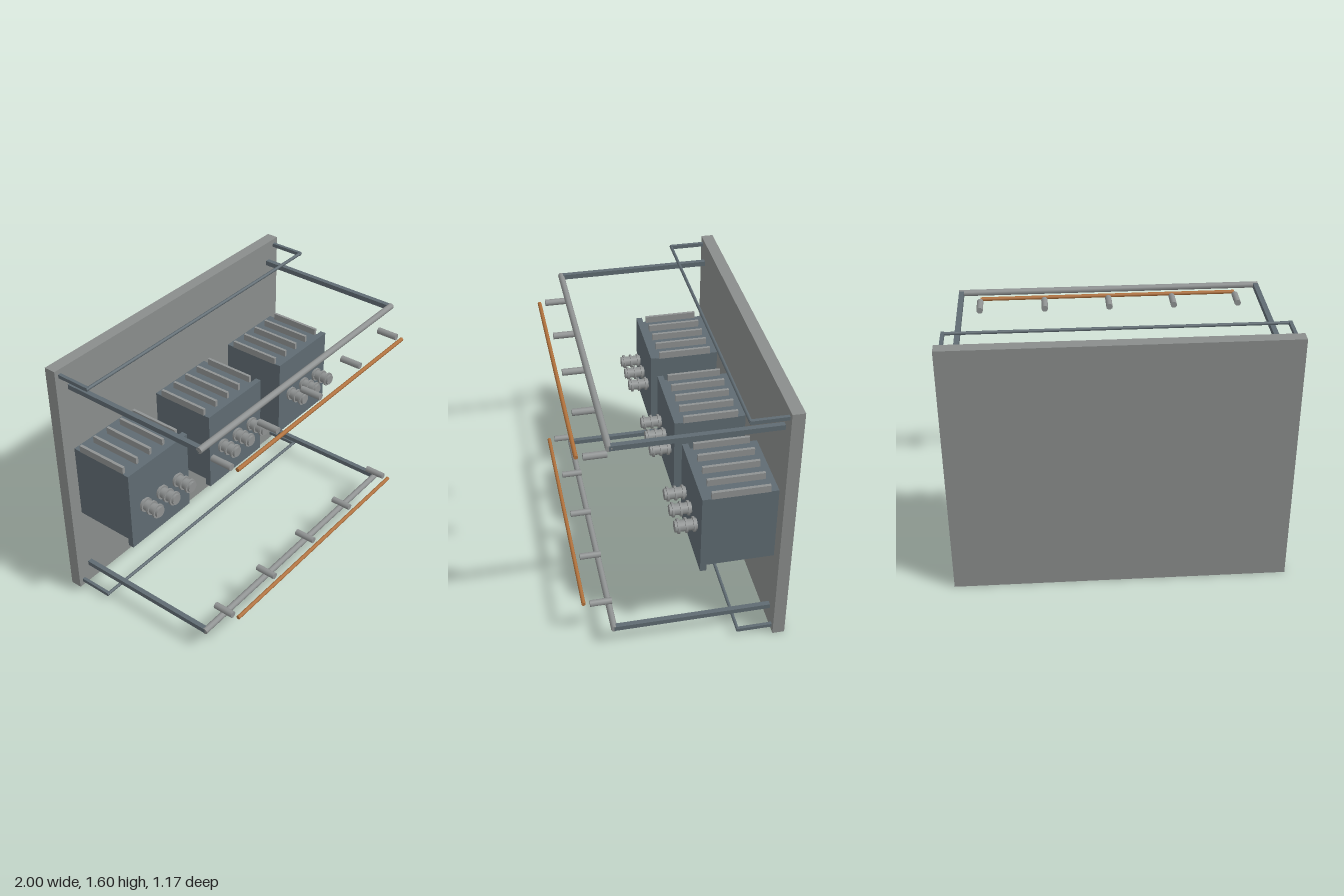
import * as THREE from 'three';

const mat = (name, color) => {
  const m = new THREE.MeshStandardMaterial({ color });
  m.name = name;
  return m;
};

export function createModel() {
  const panelGrey = mat('panel grey', 0x8a8d8c);
  const slate = mat('slate steel', 0x5f6b72);
  const lightGrey = mat('light grey', 0x8f9292);
  const copper = mat('copper', 0xb0713c);

  const root = new THREE.Group();
  root.name = 'switchPanel';

  const box = (parent, name, material, w, h, d, x, y, z) => {
    const m = new THREE.Mesh(new THREE.BoxGeometry(w, h, d), material);
    m.name = name;
    m.position.set(x, y, z);
    parent.add(m);
  };
  // Cylinder lying along the x or z axis
  const rod = (parent, name, material, axis, r, length, x, y, z, sides = 12) => {
    const g = new THREE.CylinderGeometry(r, r, length, sides);
    if (axis === 'x') g.rotateZ(Math.PI / 2);
    else g.rotateX(Math.PI / 2);
    const m = new THREE.Mesh(g, material);
    m.name = name;
    m.position.set(x, y, z);
    parent.add(m);
  };

  // Back panel
  box(root, 'backPanel', panelGrey, 2, 1.6, 0.072, 0, 0.8, -0.551);

  // Three cabinets, each with a front plate, cooling fins and bushings
  for (const cx of [-0.7, 0, 0.7]) {
    const cabinet = new THREE.Group();
    cabinet.name = 'cabinet';
    cabinet.position.x = cx;
    root.add(cabinet);
    box(cabinet, 'cabinetBody', slate, 0.455, 0.48, 0.4, 0, 0.805, -0.307);
    box(cabinet, 'frontPlate', slate, 0.5, 0.52, 0.036, 0, 0.805, -0.09);
    for (let i = -2; i <= 2; i++) {
      box(cabinet, 'coolingFin', lightGrey, 0.018, 0.044, 0.33, i * 0.11, 1.065, -0.295);
    }
    for (let i = -1; i <= 1; i++) {
      rod(cabinet, 'bushingCore', lightGrey, 'z', 0.033, 0.13, i * 0.14, 0.805, -0.01, 16);
      for (const z of [-0.055, -0.01, 0.035]) {
        rod(cabinet, 'bushingDisc', lightGrey, 'z', 0.044, 0.012, i * 0.14, 0.805, z, 16);
      }
    }
  }

  // Rail frames, standoffs and busbars, mirrored about mid height
  for (const side of [-1, 1]) {
    const level = new THREE.Group();
    level.name = side > 0 ? 'upperRails' : 'lowerRails';
    level.position.y = 0.8;
    root.add(level);

    for (const s of [-1, 1]) {
      box(level, 'outerArm', slate, 0.03, 0.03, 0.935, s * 0.9, side * 0.66, -0.05);
      box(level, 'innerArm', slate, 0.02, 0.022, 0.215, s * 0.965, side * 0.76, -0.41);
    }
    rod(level, 'outerRail', lightGrey, 'x', 0.019, 1.83, 0, side * 0.66, 0.417, 10);
    rod(level, 'innerRail', slate, 'x', 0.01, 1.95, 0, side * 0.76, -0.308, 8);

    for (let i = -2; i <= 2; i++) {
      rod(level, 'standoff', lightGrey, 'z', 0.02, 0.128, i * 0.4, side * 0.54, 0.475);
    }
    rod(level, 'busbar', copper, 'x', 0.012, 1.6, 0, side * 0.54, 0.575, 10);
  }

  return root;
}
